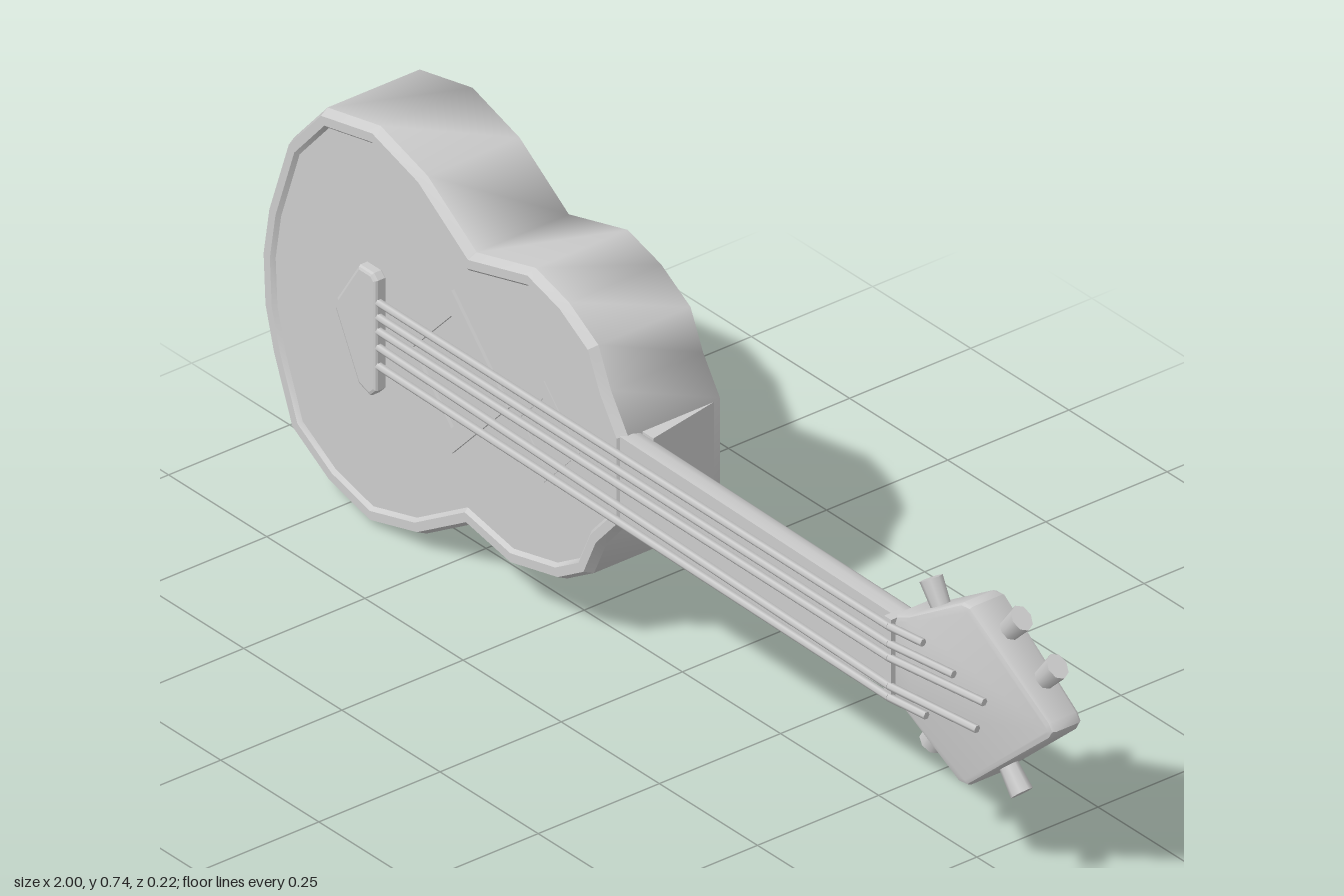
import * as THREE from 'three';
import { toCreasedNormals } from 'three/addons/utils/BufferGeometryUtils.js';

const V2 = (p) => new THREE.Vector2(p[0], p[1]);

// Body outline, counter-clockwise
const OUTLINE = [
  [-0.955, 0.385], [-0.95, 0.29], [-0.928, 0.21], [-0.88, 0.09], [-0.783, 0.032], [-0.676, 0.004],
  [-0.553, 0.037], [-0.43, 0.112], [-0.318, 0.09], [-0.195, 0.118], [-0.126, 0.16], [-0.094, 0.23],
  [-0.04, 0.29], [-0.04, 0.455], [-0.083, 0.52], [-0.115, 0.59], [-0.19, 0.635], [-0.275, 0.66],
  [-0.425, 0.62], [-0.55, 0.705], [-0.67, 0.743], [-0.805, 0.715], [-0.89, 0.62], [-0.94, 0.475],
].map(V2);

// Moves a closed counter-clockwise outline inwards by d
function inset(points, d) {
  const n = points.length;
  return points.map((p, i) => {
    const a = p.clone().sub(points[(i + n - 1) % n]).normalize();
    const b = points[(i + 1) % n].clone().sub(p).normalize();
    const na = new THREE.Vector2(-a.y, a.x);
    const m = na.clone().add(new THREE.Vector2(-b.y, b.x)).normalize();
    return p.clone().addScaledVector(m, d / m.dot(na));
  });
}

// Skins a stack of outlines [points, z], optionally closing the back
function loft(rings, closeBack) {
  const n = rings[0][0].length;
  const pos = [], idx = [];
  for (const [pts, z] of rings) for (const p of pts) pos.push(p.x, p.y, z);
  for (let r = 0; r < rings.length - 1; r++) {
    for (let i = 0; i < n; i++) {
      const a = r * n + i, b = r * n + (i + 1) % n;
      idx.push(a, b, b + n, a, b + n, a + n);
    }
  }
  if (closeBack) {
    for (const [a, b, c] of THREE.ShapeUtils.triangulateShape(rings[0][0], [])) idx.push(a, c, b);
  }
  const g = new THREE.BufferGeometry();
  g.setAttribute('position', new THREE.Float32BufferAttribute(pos, 3));
  g.setIndex(idx);
  g.computeVertexNormals();
  return g;
}

// Applies a rule to every vertex
function reshape(g, rule) {
  const p = g.attributes.position, v = new THREE.Vector3();
  for (let i = 0; i < p.count; i++) {
    v.fromBufferAttribute(p, i);
    rule(v);
    p.setXYZ(i, v.x, v.y, v.z);
  }
  g.computeVertexNormals();
  return g;
}

export function createModel() {
  const group = new THREE.Group();
  const grey = new THREE.MeshStandardMaterial({ color: 0xcccccc });
  grey.name = 'light grey';

  const add = (name, geometry) => {
    const mesh = new THREE.Mesh(geometry, grey);
    mesh.name = name;
    group.add(mesh);
    return mesh;
  };
  const plate = (pts, depth, bevel) => new THREE.ExtrudeGeometry(new THREE.Shape(pts.map(V2)), {
    depth, bevelEnabled: bevel > 0, bevelSize: bevel, bevelThickness: bevel, bevelOffset: -bevel, bevelSegments: 2,
  });
  // Rod between two points
  const rod = (name, a, b, r0, r1, sides) => {
    const dir = b.clone().sub(a);
    const mesh = add(name, new THREE.CylinderGeometry(r1, r0, dir.length(), sides));
    mesh.position.copy(a).add(b).multiplyScalar(0.5);
    mesh.quaternion.setFromUnitVectors(new THREE.Vector3(0, 1, 0), dir.normalize());
    return mesh;
  };

  // Body: back and sides, raised edge, front panel
  add('bodyShell', loft([[OUTLINE, -0.11], [OUTLINE, 0.08]], true));
  add('bodyEdge', toCreasedNormals(loft([
    [OUTLINE, 0.08], [inset(OUTLINE, 0.008), 0.097], [inset(OUTLINE, 0.024), 0.097], [inset(OUTLINE, 0.03), 0.09],
  ]), 0.5));
  const front = add('frontPanel', new THREE.ShapeGeometry(new THREE.Shape(inset(OUTLINE, 0.03))));
  front.position.z = 0.09;

  // Diamond trims on the front panel
  const diamond = (rx, ry) => [[-rx, 0], [0, -ry], [rx, 0], [0, ry]].map(V2);
  for (const [name, x, y, r, w, h] of [
    ['soundHoleTrim', -0.47, 0.382, 0.145, 0.045, 0.007], ['smallDiamondTrim', -0.24, 0.375, 0.09, 0.03, 0.003],
  ]) {
    const shape = new THREE.Shape(diamond(r, r * 1.05));
    shape.holes.push(new THREE.Path(diamond(r - w, (r - w) * 1.05)));
    const g = new THREE.ExtrudeGeometry(shape, { depth: h, bevelEnabled: false });
    add(name, g).position.set(x, y, 0.089);
  }

  // Bridge
  add('bridge', plate([
    [-0.75, 0.38], [-0.69, 0.265], [-0.66, 0.255], [-0.645, 0.27],
    [-0.645, 0.475], [-0.655, 0.485], [-0.69, 0.485], [-0.745, 0.4],
  ], 0.014, 0.006)).position.z = 0.091;

  // Neck with a rounded back, narrowing towards the head
  const section = [[-0.092, -1], [-0.07, -1]];
  for (let i = 1; i < 10; i++) {
    const a = -Math.PI / 2 + (i / 10) * Math.PI;
    section.push([-0.07 + 0.05 * Math.cos(a), Math.sin(a)]);
  }
  section.push([-0.07, 1], [-0.092, 1]);
  const neck = plate(section, 0.75, 0).rotateY(Math.PI / 2);
  reshape(neck, (v) => {
    v.y = 0.371 + v.y * (0.085 - 0.012 * (v.x / 0.75));
    v.x -= 0.08;
  });
  add('neck', toCreasedNormals(neck, 0.7));

  // Heel under the neck joint
  const heel = plate([[-0.1, -0.108], [-0.042, -0.108], [-0.012, 0.05], [-0.1, 0.05]], 0.16, 0).rotateX(Math.PI / 2);
  add('heel', heel).position.y = 0.452;

  // Headstock: leans back and thins towards its tip
  const faceZ = (x) => 0.1 - (x - 0.65) * 0.16;
  const backZ = (x) => 0.01 - (x - 0.65) * 0.08;
  const head = plate([
    [0.65, 0.3], [0.69, 0.272], [0.795, 0.193], [0.815, 0.193], [0.99, 0.35],
    [0.998, 0.365], [0.99, 0.38], [0.82, 0.527], [0.8, 0.527], [0.69, 0.46], [0.65, 0.443],
  ], 0.07, 0.01);
  reshape(head, (v) => {
    v.z = THREE.MathUtils.lerp(backZ(v.x), faceZ(v.x), (v.z + 0.01) / 0.09);
  });
  add('headstock', toCreasedNormals(head, 0.6));
  add('nut', new THREE.BoxGeometry(0.018, 0.15, 0.03)).position.set(0.655, 0.371, 0.092);

  // Tuning pegs: base x, y, outward angle, z
  for (const [x, y, deg, z] of [
    [0.725, 0.455, 122, 0.045], [0.85, 0.475, 48, 0.025], [0.925, 0.415, 48, 0.012],
    [0.725, 0.265, 238, 0.045], [0.85, 0.25, 312, 0.025],
  ]) {
    const a = THREE.MathUtils.degToRad(deg);
    const base = new THREE.Vector3(x, y, z);
    const tip = new THREE.Vector3(x + 0.068 * Math.cos(a), y + 0.068 * Math.sin(a), z);
    rod('tuningPeg', base, tip, 0.018, 0.023, 8).scale.z = 0.8;
  }

  // Strings run from the bridge over the nut onto the headstock
  for (const [y0, y1, end] of [
    [0.433, 0.433, 0.735], [0.406, 0.4, 0.8], [0.38, 0.374, 0.865], [0.35, 0.318, 0.85], [0.315, 0.3, 0.742],
  ]) {
    const yNut = THREE.MathUtils.lerp(y0, y1, 1.31 / (end + 0.65));
    const nut = new THREE.Vector3(0.66, yNut, 0.108);
    rod('string', new THREE.Vector3(-0.66, y0, 0.103), nut, 0.007, 0.007, 6);
    rod('stringEnd', nut, new THREE.Vector3(end, y1, faceZ(end) + 0.012), 0.007, 0.007, 6);
  }

  // Strap button on the tail
  rod('strapButton', new THREE.Vector3(-0.95, 0.38, -0.02), new THREE.Vector3(-0.998, 0.38, -0.02), 0.042, 0.006, 8);

  return group;
}
